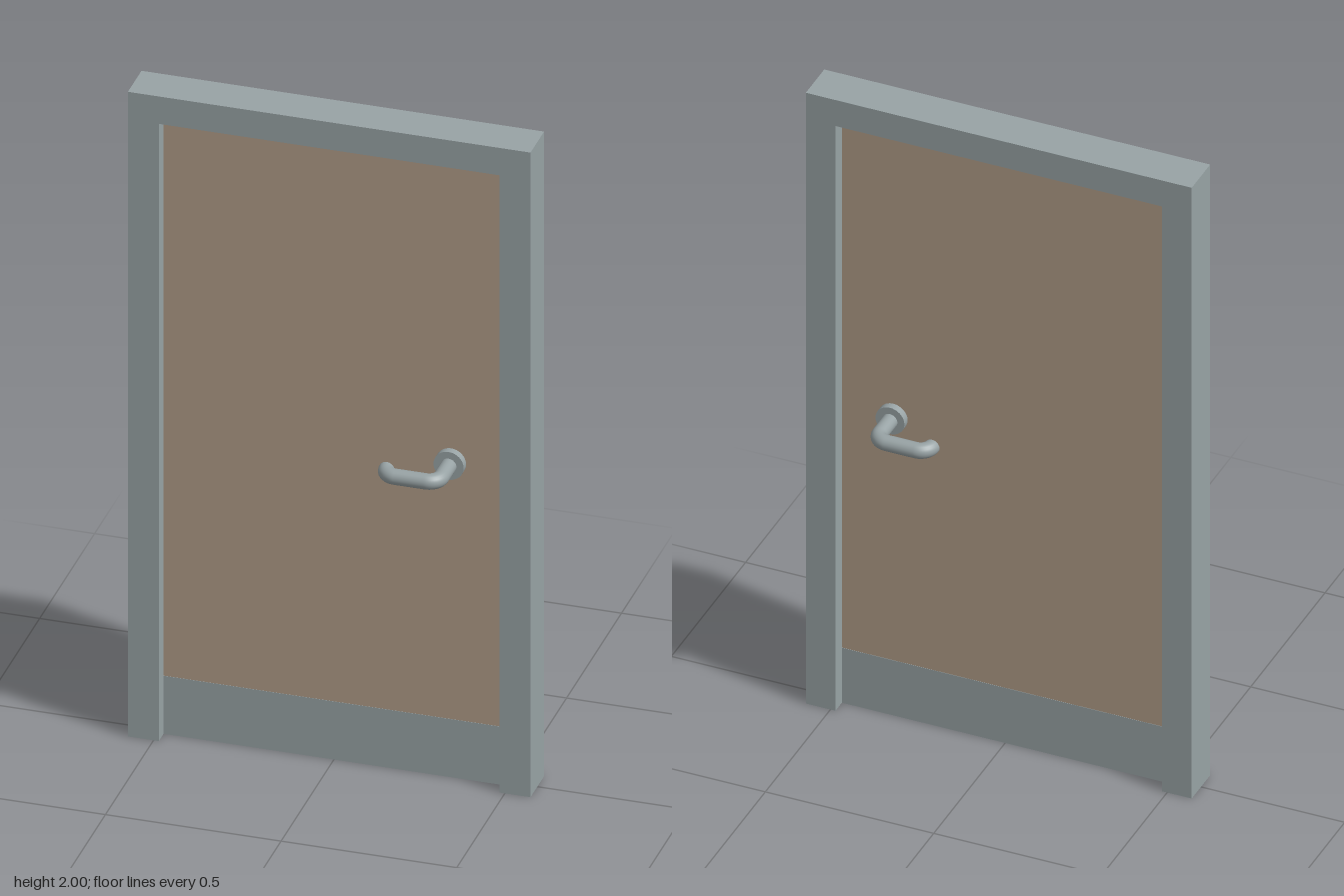
import * as THREE from 'three';

export function createModel() {
  const model = new THREE.Group();
  model.name = 'door';
  const greyMetal = new THREE.MeshStandardMaterial({ color: 0x98a3a5 });
  greyMetal.name = 'grey metal';
  const tanPanel = new THREE.MeshStandardMaterial({ color: 0xb09c88 });
  tanPanel.name = 'tan panel';

  const add = (parent, name, geometry, material, x = 0, y = 0, z = 0) => {
    const mesh = new THREE.Mesh(geometry, material);
    mesh.name = name;
    mesh.position.set(x, y, z);
    parent.add(mesh);
    return mesh;
  };

  const outer = 0.573, inner = 0.485, innerTop = 1.915, depth = 0.124;
  const panelHalf = 0.018, kickHeight = 0.18;

  // Frame: two jambs and a head in one outline, open at the floor
  const outline = new THREE.Shape([
    [-outer, 0], [-inner, 0], [-inner, innerTop], [inner, innerTop],
    [inner, 0], [outer, 0], [outer, 2], [-outer, 2],
  ].map(([x, y]) => new THREE.Vector2(x, y)));
  add(model, 'frame', new THREE.ExtrudeGeometry(outline, { depth, bevelEnabled: false }),
    greyMetal, 0, 0, -depth / 2);

  // Door leaf
  add(model, 'doorLeaf', new THREE.BoxGeometry(inner * 2, innerTop, panelHalf * 2),
    tanPanel, 0, innerTop / 2, 0);

  // Kick plate and lever handle on each face
  const hx = 0.333, hy = 0.977, radius = 0.0225;
  const reach = 0.1415, tipX = 0.178, tipZ = 0.108, bend = 0.034;
  for (const side of [1, -1]) {
    const label = side > 0 ? 'front' : 'back';
    add(model, label + 'KickPlate', new THREE.BoxGeometry(inner * 2, kickHeight, 0.001),
      greyMetal, 0, kickHeight / 2, side * (panelHalf + 0.0005));

    const handle = new THREE.Group();
    handle.name = label + 'Handle';
    model.add(handle);

    // Rosette
    const rosette = add(handle, 'rosette', new THREE.CylinderGeometry(0.043, 0.043, 0.022, 32),
      greyMetal, hx, hy, side * (panelHalf + 0.011));
    rosette.rotation.x = Math.PI / 2;

    // Lever: out from the leaf, across, then back towards the leaf
    const p = (x, z) => new THREE.Vector3(x, hy, side * z);
    const k = bend * 0.448;
    const path = new THREE.CurvePath();
    path.add(new THREE.LineCurve3(p(hx, panelHalf), p(hx, reach - bend)));
    path.add(new THREE.CubicBezierCurve3(p(hx, reach - bend), p(hx, reach - k),
      p(hx - k, reach), p(hx - bend, reach)));
    path.add(new THREE.LineCurve3(p(hx - bend, reach), p(tipX + bend, reach)));
    path.add(new THREE.CubicBezierCurve3(p(tipX + bend, reach), p(tipX + k, reach),
      p(tipX, reach - k), p(tipX, tipZ)));
    add(handle, 'lever', new THREE.TubeGeometry(path, 64, radius, 20, false), greyMetal);

    // Flat end of the lever, facing the leaf
    const cap = add(handle, 'leverEnd', new THREE.CircleGeometry(radius, 20),
      greyMetal, tipX, hy, side * tipZ);
    cap.rotation.y = side > 0 ? Math.PI : 0;
  }
  return model;
}
